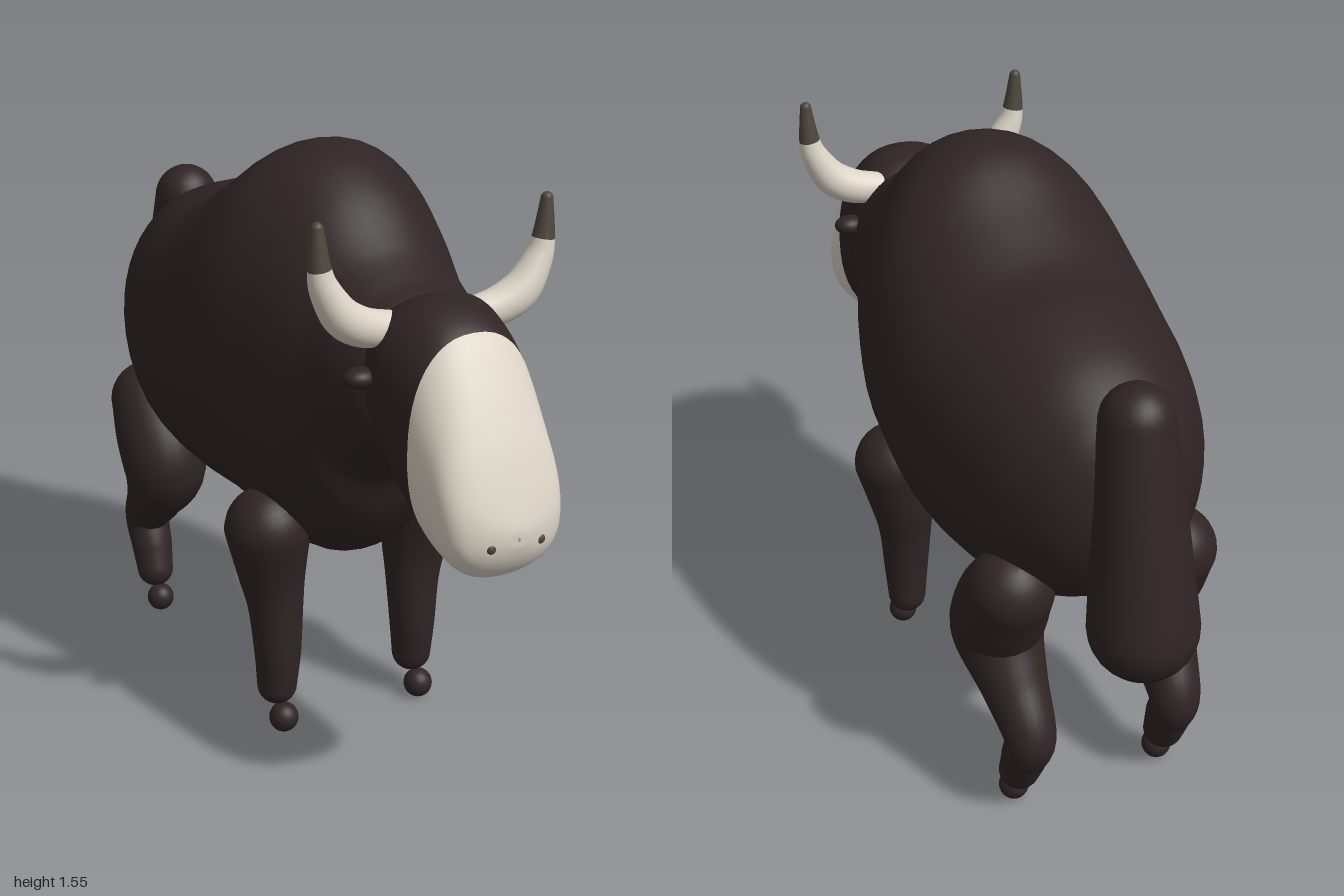
import * as THREE from 'three';

const hide = new THREE.MeshStandardMaterial({ color: 0x2f2424 });
hide.name = 'darkHide';
const cream = new THREE.MeshStandardMaterial({ color: 0xdbd4c6 });
cream.name = 'cream';
const tipGrey = new THREE.MeshStandardMaterial({ color: 0x4d463c });
tipGrey.name = 'hornTip';

const SUB = 6; // rings per control row
const DOME = 8; // rings per rounded end

// Skin over closed rings; rings after splitRing use the second material
function skin(name, rings, materials, splitRing) {
  const n = rings[0].length;
  const index = [];
  for (let i = 0; i < rings.length - 1; i++) {
    for (let j = 0; j < n; j++) {
      const k = (j + 1) % n;
      const a = i * n + j, b = i * n + k, c = a + n, d = b + n;
      index.push(a, b, d, a, d, c);
    }
  }
  const geo = new THREE.BufferGeometry().setFromPoints(rings.flat());
  geo.setIndex(index);
  geo.computeVertexNormals();
  if (splitRing !== undefined) {
    const cut = splitRing * n * 6;
    geo.addGroup(0, cut, 0);
    geo.addGroup(cut, index.length - cut, 1);
  }
  const mesh = new THREE.Mesh(geo, materials);
  mesh.name = name;
  return mesh;
}

const smooth = (points) => new THREE.CatmullRomCurve3(points, false, 'catmullrom', 0.5);

// Loft along z from rows of [z, bottom, top, halfWidth]
function loft(name, rows, power, materials, splitRow) {
  const profile = smooth(rows.map(([z, b, t]) => new THREE.Vector3(z, b, t)));
  const widths = smooth(rows.map((r) => new THREE.Vector3(r[3], 0, 0)));
  const round = (v) => Math.sign(v) * Math.abs(v) ** power;
  const count = (rows.length - 1) * SUB;
  const rings = [];
  for (let i = 0; i <= count; i++) {
    const p = profile.getPoint(i / count);
    const w = Math.max(widths.getPoint(i / count).x, 0.001);
    const ring = [];
    for (let j = 0; j < 48; j++) {
      const a = (j / 48) * Math.PI * 2;
      const y = (p.y + p.z) / 2 + ((p.z - p.y) / 2) * round(Math.sin(a));
      ring.push(new THREE.Vector3(w * round(Math.cos(a)), y, p.x));
    }
    rings.push(ring);
  }
  return skin(name, rings, materials, splitRow === undefined ? undefined : splitRow * SUB);
}

// Tapered limb with rounded ends through points [x, y, z, radius]
function limb(name, points, ref, materials, splitPoint) {
  const path = smooth(points.map(([x, y, z]) => new THREE.Vector3(x, y, z)));
  const radii = smooth(points.map((p) => new THREE.Vector3(p[3], 0, 0)));
  const count = (points.length - 1) * SUB;
  const rings = [];
  const addRing = (t, shift, scale) => {
    const tan = path.getTangent(t);
    const r = radii.getPoint(t).x;
    const c = path.getPoint(t).addScaledVector(tan, shift * r);
    const n = ref.clone().addScaledVector(tan, -ref.dot(tan)).normalize();
    const b = tan.clone().cross(n);
    const ring = [];
    for (let j = 0; j < 28; j++) {
      const a = (j / 28) * Math.PI * 2;
      ring.push(c.clone()
        .addScaledVector(n, Math.cos(a) * r * scale)
        .addScaledVector(b, Math.sin(a) * r * scale));
    }
    rings.push(ring);
  };
  for (let k = 0; k < DOME; k++) {
    const a = ((k + 0.02) / DOME) * Math.PI / 2;
    addRing(0, -Math.cos(a), Math.sin(a));
  }
  for (let i = 0; i <= count; i++) addRing(i / count, 0, 1);
  for (let k = DOME - 1; k >= 0; k--) {
    const a = ((k + 0.02) / DOME) * Math.PI / 2;
    addRing(1, Math.cos(a), Math.sin(a));
  }
  return skin(name, rings, materials, splitPoint === undefined ? undefined : DOME + splitPoint * SUB);
}

function ball(name, x, y, z, rx, ry, rz, material) {
  const mesh = new THREE.Mesh(new THREE.SphereGeometry(1, 24, 16), material);
  mesh.name = name;
  mesh.position.set(x, y, z);
  mesh.scale.set(rx, ry, rz);
  return mesh;
}

export function createModel() {
  const model = new THREE.Group();
  model.name = 'hornedBeast';
  const X = new THREE.Vector3(1, 0, 0);
  const Z = new THREE.Vector3(0, 0, 1);

  // Humped body from rump to neck
  model.add(loft('body', [
    [-0.81, 0.93, 0.97, 0.01], [-0.8, 0.84, 1.08, 0.1], [-0.76, 0.75, 1.165, 0.17],
    [-0.7, 0.68, 1.22, 0.225], [-0.6, 0.605, 1.28, 0.285], [-0.45, 0.555, 1.33, 0.335],
    [-0.3, 0.54, 1.36, 0.365], [-0.15, 0.53, 1.435, 0.373], [0, 0.525, 1.525, 0.362],
    [0.1, 0.505, 1.545, 0.345], [0.2, 0.485, 1.52, 0.315], [0.3, 0.515, 1.46, 0.285],
    [0.4, 0.64, 1.37, 0.25], [0.45, 0.75, 1.33, 0.235], [0.52, 0.83, 1.29, 0.215],
    [0.6, 0.89, 1.25, 0.17], [0.64, 0.98, 1.15, 0.08], [0.645, 1.06, 1.08, 0.01],
  ], 0.95, hide));

  // Head with a pale face in front of one plane
  model.add(loft('head', [
    [0.5, 1.08, 1.1, 0.005], [0.52, 1.01, 1.2, 0.1], [0.56, 0.94, 1.26, 0.16],
    [0.63, 0.88, 1.292, 0.18], [0.7, 0.79, 1.288, 0.178], [0.79, 0.715, 1.24, 0.17],
    [0.86, 0.69, 1.145, 0.163], [0.92, 0.695, 1.035, 0.157], [0.96, 0.72, 0.945, 0.135],
    [0.985, 0.755, 0.88, 0.09], [0.998, 0.79, 0.84, 0.035], [1.0, 0.81, 0.82, 0.004],
  ], 0.87, [hide, cream], 5));

  // Thick upright tail
  model.add(limb('tail', [
    [0, 1.208, -0.79, 0.09], [0, 0.95, -0.827, 0.113], [0, 0.69, -0.865, 0.135],
  ], X, hide));

  for (const s of [1, -1]) {
    const side = s > 0 ? 'left' : 'right';
    const mirror = (pts) => pts.map(([x, ...rest]) => [s * x, ...rest]);

    // Curved horns with dark tips
    model.add(limb(side + 'Horn', mirror([
      [0.11, 1.215, 0.6, 0.04], [0.18, 1.226, 0.605, 0.047], [0.24, 1.26, 0.61, 0.047],
      [0.283, 1.325, 0.61, 0.037], [0.299, 1.38, 0.61, 0.028], [0.305, 1.475, 0.61, 0.015],
    ]), Z, [cream, tipGrey], 4));

    // Eyes and nostrils
    model.add(ball(side + 'Eye', s * 0.195, 1.108, 0.613, 0.042, 0.026, 0.034, hide));
    model.add(ball(side + 'Nostril', s * 0.065, 0.8, 0.988, 0.012, 0.012, 0.008, tipGrey));

    // Straight front legs
    model.add(limb(side + 'FrontLeg', mirror([
      [0.228, 0.575, 0.195, 0.113], [0.215, 0.45, 0.188, 0.09], [0.207, 0.35, 0.193, 0.073],
      [0.205, 0.22, 0.2, 0.062], [0.206, 0.12, 0.197, 0.053],
    ]), X, hide));
    model.add(ball(side + 'FrontHoof', s * 0.206, 0.04, 0.236, 0.039, 0.04, 0.039, hide));

    // Back legs bent at the hock
    model.add(limb(side + 'BackLeg', mirror([
      [0.22, 0.675, -0.59, 0.11], [0.22, 0.595, -0.54, 0.12], [0.215, 0.49, -0.502, 0.118],
      [0.208, 0.38, -0.585, 0.088], [0.202, 0.275, -0.675, 0.067], [0.203, 0.19, -0.648, 0.06],
      [0.206, 0.12, -0.62, 0.053],
    ]), X, hide));
    model.add(ball(side + 'BackHoof', s * 0.206, 0.04, -0.585, 0.039, 0.04, 0.039, hide));
  }
  return model;
}
